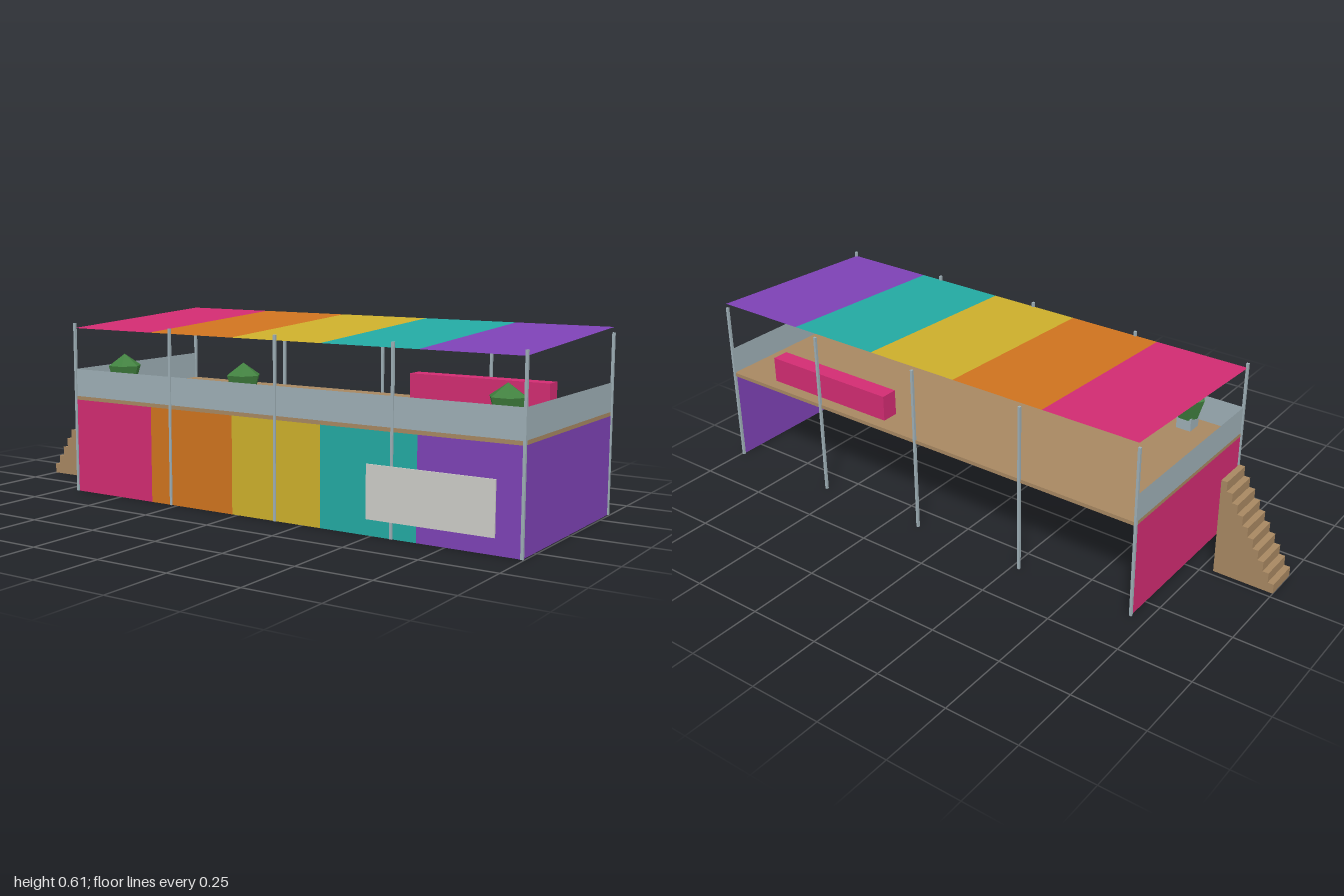
import * as THREE from 'three';

const mat = (name, color, extra = {}) => {
  const m = new THREE.MeshStandardMaterial({ color, ...extra });
  m.name = name;
  return m;
};

export function createModel() {
  const group = new THREE.Group();
  const two = { side: THREE.DoubleSide };
  const bands = [
    mat('pink', 0xd22c72, two),
    mat('orange', 0xd0741f, two),
    mat('yellow', 0xcdb02c, two),
    mat('teal', 0x23aaa3, two),
    mat('purple', 0x7e42b6, two),
  ];
  const steel = mat('paleSteel', 0x9eafb6, two);
  const wood = mat('wood', 0xa88862);
  const signGrey = mat('signGrey', 0xcdcdc8);
  const leaf = mat('leaf', 0x41813f, { flatShading: true });

  const X0 = -0.697, X1 = 0.993, Z = 0.337, W = (X1 - X0) / 5;
  const MID = (X0 + X1) / 2, WALL = 0.325, DECK = 0.338, RAIL = 0.433;

  const add = (name, geometry, material, x, y, z) => {
    const mesh = new THREE.Mesh(geometry, material);
    mesh.name = name;
    mesh.position.set(x, y, z);
    group.add(mesh);
    return mesh;
  };
  // box given by its minimum and maximum corners
  const box = (name, material, x0, x1, y0, y1, z0, z1) =>
    add(name, new THREE.BoxGeometry(x1 - x0, y1 - y0, z1 - z0), material,
      (x0 + x1) / 2, (y0 + y1) / 2, (z0 + z1) / 2);
  // thin upright sheet on either end
  const endSheet = (name, material, x, y0, y1) => {
    add(name, new THREE.PlaneGeometry(2 * Z, y1 - y0), material, x, (y0 + y1) / 2, 0)
      .rotation.y = Math.sign(x) * Math.PI / 2;
  };

  // striped front wall and sloping canopy, open at the back
  const lowZ = 0.339, highZ = -0.341, lowY = 0.576, highY = 0.61;
  const slope = Math.atan2(highY - lowY, lowZ - highZ);
  const canopyLength = Math.hypot(highY - lowY, lowZ - highZ);
  bands.forEach((m, i) => {
    const x = X0 + (i + 0.5) * W;
    add('frontPanel', new THREE.PlaneGeometry(W, WALL), m, x, WALL / 2, Z);
    add('canopyStripe', new THREE.PlaneGeometry(W, canopyLength), m,
      x, (lowY + highY) / 2, (lowZ + highZ) / 2).rotation.x = -Math.PI / 2 + slope;
  });
  endSheet('rightEndWall', bands[0], X0, 0, WALL);
  endSheet('leftEndWall', bands[4], X1, 0, WALL);

  // roof deck with parapet on three sides
  box('deck', wood, X0, X1, WALL, DECK, -Z, Z);
  add('frontParapet', new THREE.PlaneGeometry(X1 - X0, RAIL - DECK), steel, MID, (DECK + RAIL) / 2, Z);
  endSheet('rightParapet', steel, X0, DECK, RAIL);
  endSheet('leftParapet', steel, X1, DECK, RAIL);

  // full-height posts along front and back
  const P = 0.0043;
  for (let i = 0; i < 5; i++) {
    const x = X0 + i * (X1 - X0) / 4;
    for (const z of [-Z, Z]) box('post', steel, x - P, x + P, 0, 0.593, z - P, z + P);
  }

  // blank sign plate on the front
  box('signPlate', signGrey, 0.485, 0.91, 0.052, 0.222, 0.339, 0.344);

  // bench on the deck
  box('bench', bands[0], 0.315, 0.825, DECK, 0.428, -0.295, -0.235);

  // potted shrubs behind the front parapet
  const shrub = new THREE.LatheGeometry(
    [[0, 0.375], [0.036, 0.378], [0.058, 0.45], [0, 0.49]].map(p => new THREE.Vector2(...p)), 6);
  for (const x of [-0.53, -0.022, 0.908]) {
    box('pot', steel, x - 0.027, x + 0.027, DECK, 0.384, 0.243, 0.297);
    add('shrub', shrub, leaf, x, 0, 0.27).rotation.y = Math.PI / 2;
  }

  // freestanding solid staircase
  const steps = 10, run = 0.21 / steps, rise = 0.342 / steps;
  for (let i = 0; i < steps; i++) {
    const x = -1 + i * run;
    box('stairStep', wood, x, x + run, 0, (i + 1) * rise, 0.02, 0.14);
  }

  return group;
}
